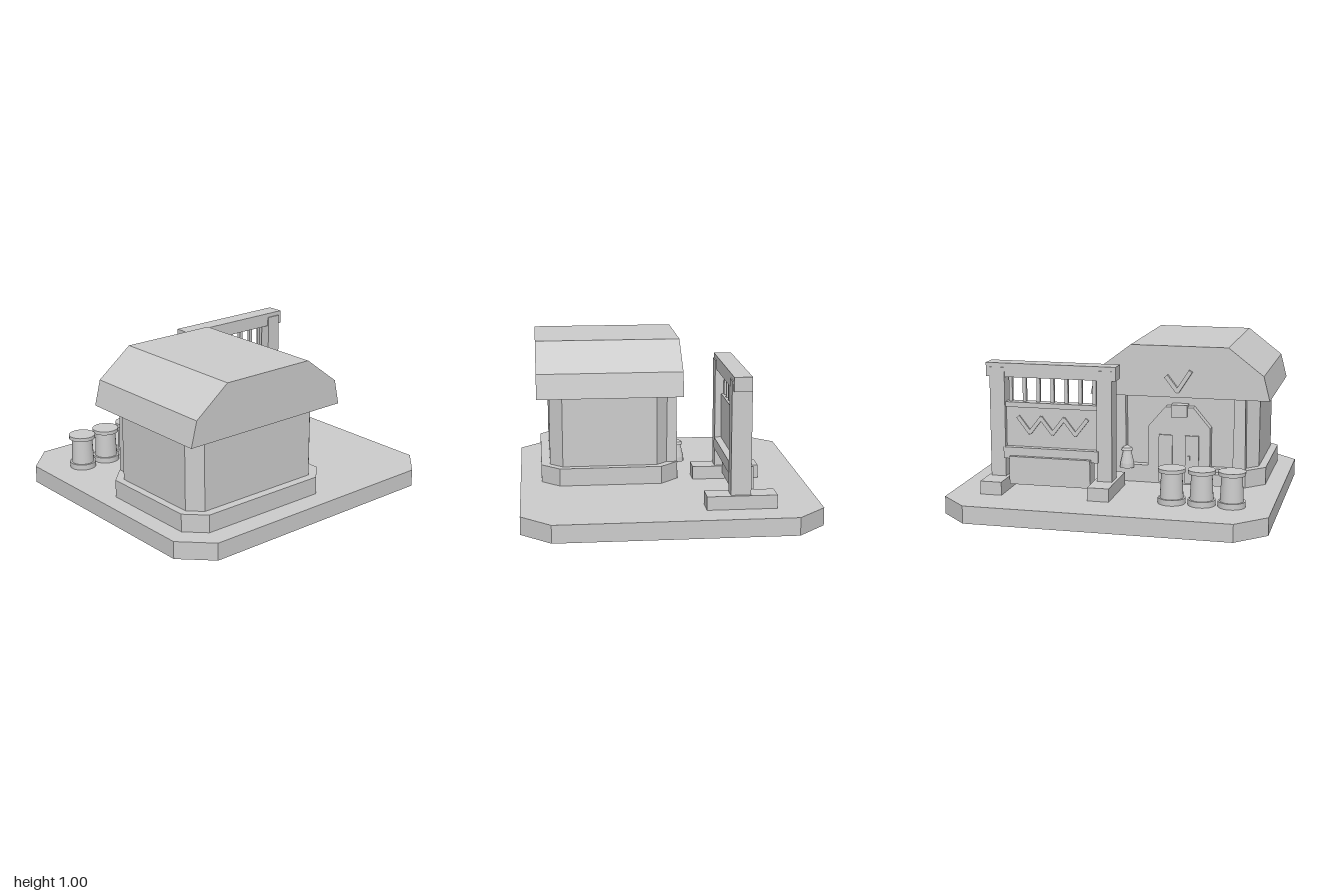
import * as THREE from 'three';

export function createModel() {
  const model = new THREE.Group();
  const stone = new THREE.MeshStandardMaterial({ color: 0xcccccc, side: THREE.DoubleSide });
  stone.name = 'plain grey';

  const add = (name, geometry, parent = model) => {
    const mesh = new THREE.Mesh(geometry, stone);
    mesh.name = name;
    parent.add(mesh);
    return mesh;
  };
  const group = (name) => {
    const g = new THREE.Group();
    g.name = name;
    model.add(g);
    return g;
  };
  // Box given by its limits
  const box = (name, x0, x1, y0, y1, z0, z1, parent) => {
    const m = add(name, new THREE.BoxGeometry(x1 - x0, y1 - y0, z1 - z0), parent);
    m.position.set((x0 + x1) / 2, (y0 + y1) / 2, (z0 + z1) / 2);
    return m;
  };
  // Outline in x and y, pushed from z0 to z1
  const slab = (name, points, z0, z1, parent) => {
    const shape = new THREE.Shape(points.map(([x, y]) => new THREE.Vector2(x, y)));
    const geo = new THREE.ExtrudeGeometry(shape, { depth: z1 - z0, bevelEnabled: false });
    geo.translate(0, 0, z0);
    return add(name, geo, parent);
  };
  // Upright prism with four cut corners
  const cutBox = (name, x0, x1, z0, z1, c, y0, y1, parent) => {
    const pts = [[x0 + c, z0], [x1 - c, z0], [x1, z0 + c], [x1, z1 - c],
      [x1 - c, z1], [x0 + c, z1], [x0, z1 - c], [x0, z0 + c]];
    const shape = new THREE.Shape(pts.map(([x, z]) => new THREE.Vector2(x, -z)));
    const geo = new THREE.ExtrudeGeometry(shape, { depth: y1 - y0, bevelEnabled: false });
    geo.rotateX(-Math.PI / 2).translate(0, y0, 0);
    return add(name, geo, parent);
  };
  // Remove the faces that look straight down
  const openBottom = (mesh) => {
    const { position, normal } = mesh.geometry.attributes;
    const kept = [];
    for (let i = 0; i < position.count; i++) {
      if (normal.getY(i) > -0.9) kept.push(position.getX(i), position.getY(i), position.getZ(i));
    }
    mesh.geometry = new THREE.BufferGeometry();
    mesh.geometry.setAttribute('position', new THREE.Float32BufferAttribute(kept, 3));
    mesh.geometry.computeVertexNormals();
  };
  // Flat strips joining points in x and y
  const strips = (name, points, width, z0, z1, parent) => {
    for (let i = 1; i < points.length; i++) {
      const [ax, ay] = points[i - 1], [bx, by] = points[i];
      const length = Math.hypot(bx - ax, by - ay) + width * 0.5;
      const m = add(name, new THREE.BoxGeometry(length, width, z1 - z0), parent);
      m.position.set((ax + bx) / 2, (ay + by) / 2, (z0 + z1) / 2);
      m.rotation.z = Math.atan2(by - ay, bx - ax);
    }
  };

  // Base, hollow underneath
  openBottom(cutBox('base', -1, 1, -0.905, 0.905, 0.18, 0, 0.11));

  // Hut
  const hut = group('hut');
  const mid = -0.345;
  cutBox('plinth', -0.887, 0.197, -0.105, 0.77, 0.115, 0.106, 0.222, hut);
  cutBox('walls', -0.84, 0.148, -0.047, 0.715, 0.08, 0.222, 0.677, hut);
  slab('roof', [[-0.92, 0.677], [0.228, 0.677], [0.193, 0.832], [-0.035, 1.004],
    [-0.657, 1.004], [-0.88, 0.832]], -0.13, 0.795, hut);
  for (const s of [-1, 1]) {
    // Four-sided post, wider at the foot
    const geo = new THREE.CylinderGeometry(0.034 * Math.SQRT2, 0.042 * Math.SQRT2, 0.567, 4, 1);
    geo.rotateY(Math.PI / 4);
    const post = add('doorwayPost', geo.toNonIndexed(), hut);
    post.geometry.computeVertexNormals();
    post.position.set(mid + s * 0.385, 0.3935, -0.064);
  }

  // Arched doorway with two leaves on the back
  slab('doorArch', [[mid - 0.2, 0.11], [mid + 0.2, 0.11], [mid + 0.2, 0.48], [mid + 0.09, 0.61],
    [mid - 0.09, 0.61], [mid - 0.2, 0.48]], -0.107, -0.03, hut);
  for (const s of [-1, 1]) {
    const x = mid + s * 0.085;
    box('doorLeaf', x - 0.044, x + 0.044, 0.12, 0.43, -0.118, -0.1, hut);
    const h = mid + s * 0.065;
    box('doorHandle', h - 0.008, h + 0.008, 0.25, 0.3, -0.125, -0.115, hut);
  }
  box('doorPlaque', mid - 0.052, mid + 0.052, 0.545, 0.625, -0.116, -0.04, hut);
  strips('gableMark', [[-0.27, 0.81], [-0.34, 0.72], [-0.42, 0.845]], 0.026, -0.155, -0.125, hut);

  // Low step with cut corners
  cutBox('step', -0.69, -0.47, -0.165, -0.06, 0.033, 0.125, 0.2, hut);

  // Jar with lid, standing on the plinth
  const jar = add('jar', new THREE.LatheGeometry([[0, 0], [0.046, 0], [0.044, 0.03],
    [0.026, 0.105], [0.026, 0.11], [0.038, 0.112], [0.03, 0.13], [0.014, 0.138], [0, 0.145]]
    .map(([r, y]) => new THREE.Vector2(r, y)), 14).toNonIndexed());
  jar.geometry.computeVertexNormals();
  jar.position.set(-0.008, 0.205, -0.11);

  // Board on a frame
  const frame = group('boardFrame');
  const centre = 0.395;
  for (const s of [-1, 1]) {
    const f = centre + s * 0.342, p = centre + s * 0.343;
    box('foot', f - 0.068, f + 0.068, 0.11, 0.193, -0.625, -0.2, frame);
    box('post', p - 0.048, p + 0.048, 0.19, 0.885, -0.467, -0.345, frame);
  }
  box('topBeam', -0.02, 0.81, 0.825, 0.912, -0.463, -0.353, frame);
  box('panel', 0.09, 0.7, 0.38, 0.667, -0.435, -0.385, frame);
  box('upperRail', 0.09, 0.7, 0.635, 0.667, -0.455, -0.385, frame);
  box('lowerRail', 0.09, 0.7, 0.31, 0.383, -0.476, -0.341, frame);
  box('lowerBoard', 0.135, 0.655, 0.153, 0.33, -0.503, -0.39, frame);
  for (let i = -3; i <= 3; i++) {
    const x = centre + i * 0.09;
    box('slat', x - 0.011, x + 0.011, 0.66, 0.83, -0.422, -0.398, frame);
  }
  const zigzag = [];
  for (let i = 0; i < 7; i++) zigzag.push([0.61 - i * 0.0735, i % 2 ? 0.475 : 0.57]);
  strips('zigzag', zigzag, 0.024, -0.447, -0.43, frame);

  // Barrels with rims at top and bottom
  const barrels = group('barrels');
  for (const x of [-0.754, -0.571, -0.387]) {
    for (const [name, top, bottom, y0, y1] of [['bottomRim', 0.084, 0.084, 0.11, 0.145],
      ['barrelBody', 0.064, 0.072, 0.145, 0.305], ['lid', 0.084, 0.084, 0.305, 0.328]]) {
      const m = add(name, new THREE.CylinderGeometry(top, bottom, y1 - y0, 24), barrels);
      m.position.set(x, (y0 + y1) / 2, -0.54);
    }
  }
  return model;
}
